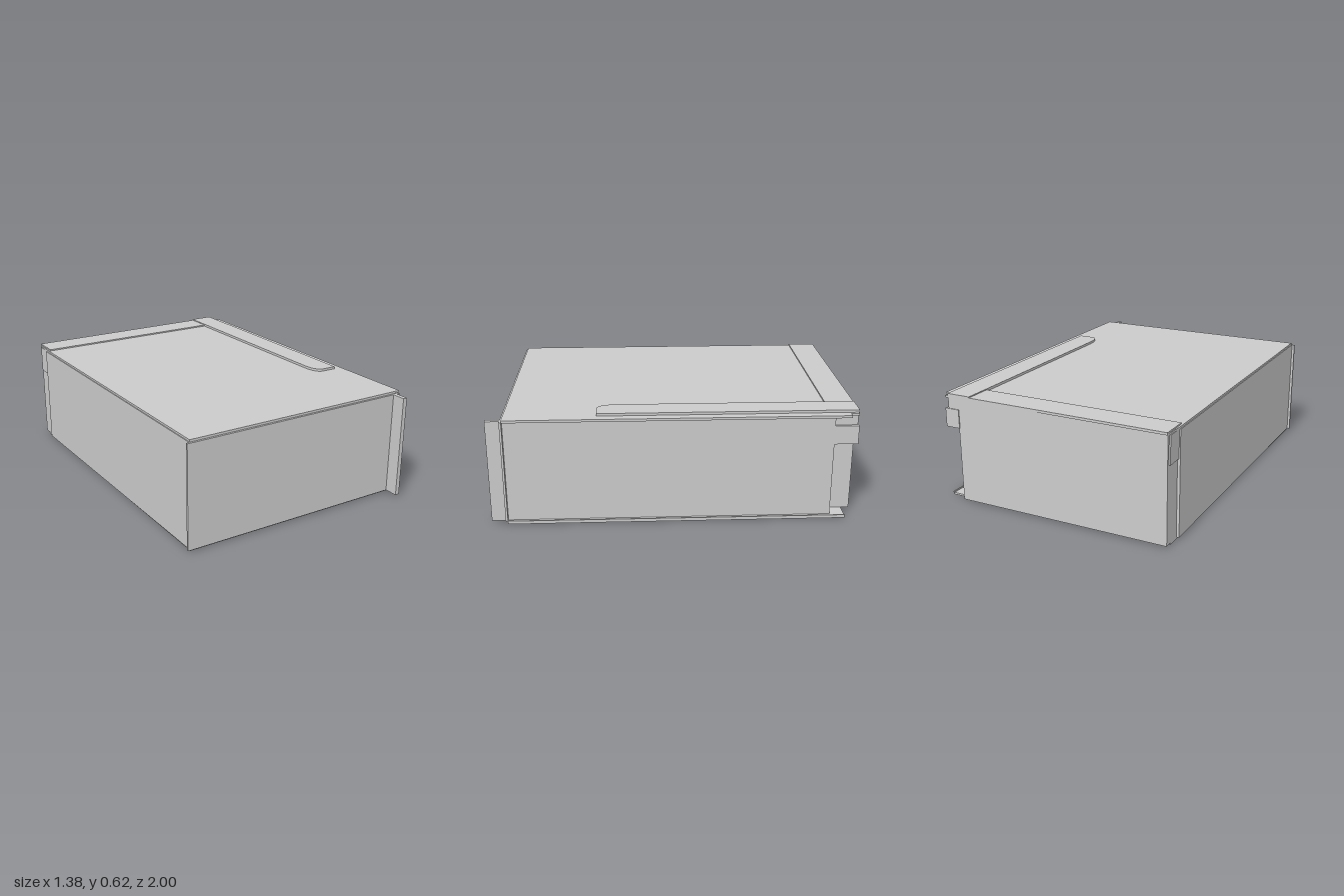
import * as THREE from 'three';

export function createModel() {
  const group = new THREE.Group();
  const material = new THREE.MeshStandardMaterial({ color: 0xcccccc });

  function add(name, geometry) {
    const mesh = new THREE.Mesh(geometry, material);
    mesh.name = name;
    group.add(mesh);
    return mesh;
  }

  // Box given by its limits on each axis
  function box(name, [x0, x1], [y0, y1], [z0, z1]) {
    add(name, new THREE.BoxGeometry(x1 - x0, y1 - y0, z1 - z0))
      .position.set((x0 + x1) / 2, (y0 + y1) / 2, (z0 + z1) / 2);
  }

  // Footprint in (x, z) raised from y0 to y1
  function slab(name, shape, y0, y1) {
    const geometry = new THREE.ExtrudeGeometry(shape, { depth: y1 - y0, bevelEnabled: false, curveSegments: 10 });
    geometry.rotateX(-Math.PI / 2);
    add(name, geometry).position.y = y0;
  }
  const outline = (points) => new THREE.Shape(points.map(([x, z]) => new THREE.Vector2(x, -z)));

  // Body with stepped rear corners
  slab('body', outline([
    [-0.675, 0.91], [0.66, 0.91], [0.66, -0.87], [0.58, -0.87],
    [0.58, -0.995], [-0.66, -0.995], [-0.66, -0.88], [-0.675, -0.88],
  ]), 0.01, 0.595);

  // Bottom and top plates, overhanging the side wall
  slab('bottomPlate', outline([
    [-0.67, 0.91], [0.69, 0.91], [0.69, -0.95], [-0.66, -0.95],
  ]), 0, 0.011);
  slab('topPlate', outline([
    [-0.67, 0.91], [0.69, 0.91], [0.69, -0.95], [0.66, -0.95],
    [0.66, -0.995], [-0.66, -0.995], [-0.67, -0.88],
  ]), 0.594, 0.606);

  // Small lips along the overhanging edges
  box('bottomLip', [0.683, 0.69], [0.005, 0.018], [-0.95, 0.91]);
  box('topLip', [0.683, 0.69], [0.592, 0.6], [-0.95, 0.91]);

  // Front panel and its projecting vertical fin
  box('frontPanel', [-0.69, 0.685], [0.01, 0.593], [0.91, 0.922]);
  box('frontFin', [0.64, 0.665], [0.01, 0.593], [0.92, 1]);

  // Raised strip along the rear edge of the top
  box('rearStrip', [-0.66, 0.51], [0.6, 0.614], [-1, -0.84]);

  // Raised side strip with one rounded front corner
  const strip = new THREE.Shape();
  strip.moveTo(0.64, 1);
  strip.lineTo(0.5, 1);
  strip.lineTo(0.5, -0.28);
  strip.bezierCurveTo(0.5, -0.37, 0.515, -0.413, 0.56, -0.413);
  strip.lineTo(0.64, -0.413);
  strip.closePath();
  slab('sideStrip', strip, 0.6, 0.62);

  // Rear corner block with a latch below it, and a tab on the other corner
  box('cornerBlock', [0.575, 0.642], [0.53, 0.597], [-0.995, -0.865]);
  box('latch', [0.575, 0.66], [0.43, 0.535], [-1, -0.865]);
  box('cornerTab', [-0.668, -0.655], [0.44, 0.596], [-0.98, -0.875]);

  return group;
}
